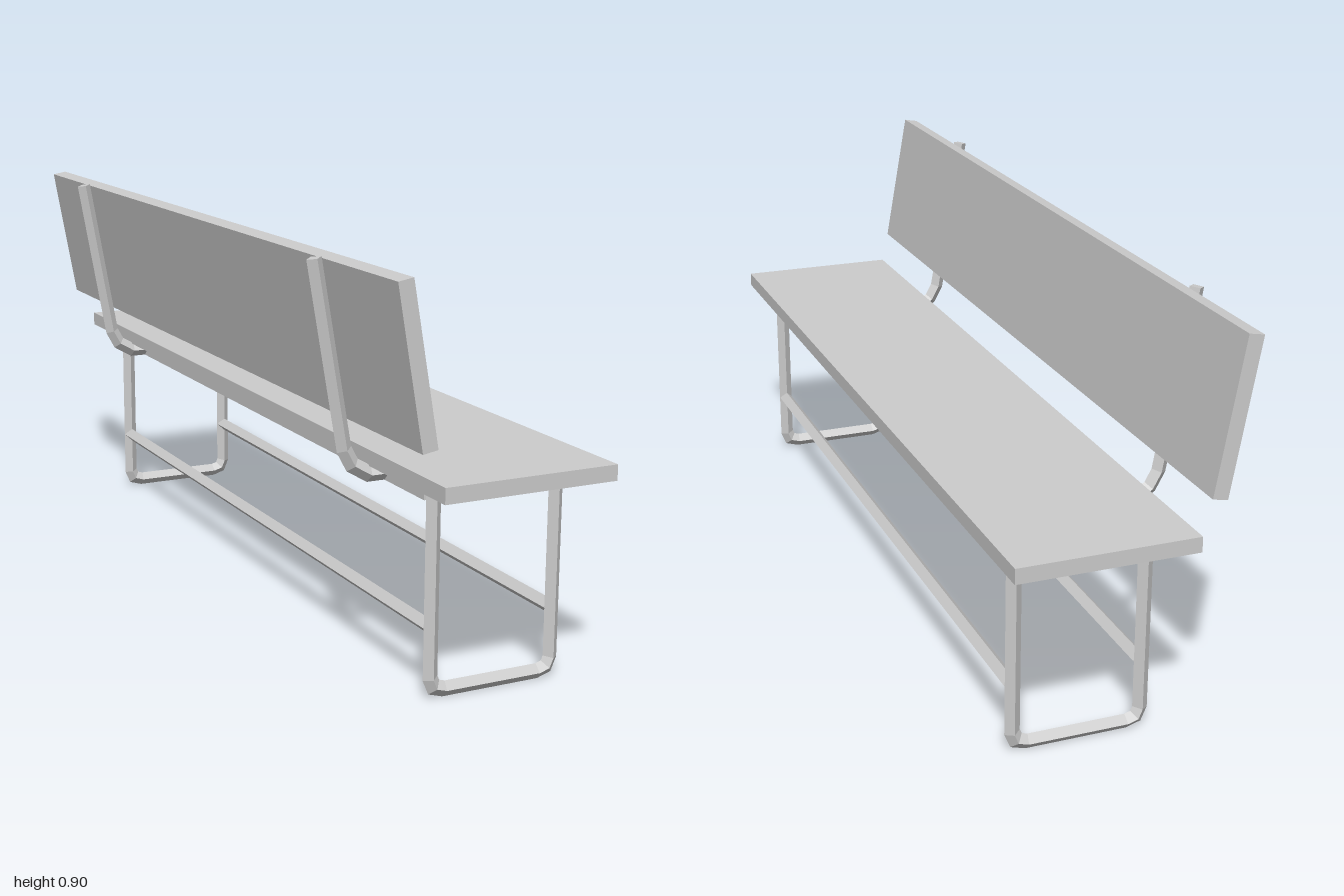
import * as THREE from 'three';

const R = 0.017; // tube radius in the plane of the bend
const RZ = 0.0155; // tube radius across the plane of the bend
const material = new THREE.MeshStandardMaterial({ color: 0xcccccc, flatShading: true });

function addMesh(parent, name, geometry, x = 0, y = 0, z = 0) {
  const mesh = new THREE.Mesh(geometry, material);
  mesh.name = name;
  mesh.position.set(x, y, z);
  parent.add(mesh);
  return mesh;
}

// Four-sided tube with mitred corners along a path in the xy plane
function bentTube(path) {
  const pts = path.map(([x, y]) => new THREE.Vector2(x, y));
  const last = pts.length - 1;
  const dir = (i) => pts[i + 1].clone().sub(pts[i]).normalize();
  const rings = pts.map((p, i) => {
    const before = dir(Math.max(i - 1, 0));
    const after = dir(Math.min(i, last - 1));
    const t = before.clone().add(after).normalize();
    const r = R / t.dot(after);
    const nx = -t.y * r, ny = t.x * r;
    return [[p.x + nx, p.y + ny, 0], [p.x, p.y, RZ], [p.x - nx, p.y - ny, 0], [p.x, p.y, -RZ]];
  });
  const out = [];
  const quad = (a, b, c, d) => out.push(...a, ...b, ...c, ...a, ...c, ...d);
  for (let i = 0; i < last; i++) {
    const a = rings[i], b = rings[i + 1];
    for (let k = 0; k < 4; k++) {
      const n = (k + 1) % 4;
      quad(a[k], a[n], b[n], b[k]);
    }
  }
  const s = rings[0], e = rings[last];
  quad(s[3], s[2], s[1], s[0]);
  quad(e[0], e[1], e[2], e[3]);
  const g = new THREE.BufferGeometry();
  g.setAttribute('position', new THREE.Float32BufferAttribute(out, 3));
  g.computeVertexNormals();
  return g;
}

export function createModel() {
  const bench = new THREE.Group();
  bench.name = 'bench';

  // Seat and leaning backrest boards
  addMesh(bench, 'seat', new THREE.BoxGeometry(0.396, 0.034, 2), 0.072, 0.474, 0);
  const back = addMesh(bench, 'backrest', new THREE.BoxGeometry(0.034, 0.338, 2), -0.189, 0.731, 0);
  back.rotation.z = THREE.MathUtils.degToRad(10);

  // U-shaped leg frames, mirrored about the middle of the seat
  const mid = 0.072;
  const half = [[-0.072, 0.458], [-0.072, 0.047], [-0.063, 0.026], [-0.04, 0.019]];
  const legPath = [...half, ...half.map(([x, y]) => [2 * mid - x, y]).reverse()];
  const legGeometry = bentTube(legPath);

  // Bent uprights running from under the seat up the backrest
  const supportGeometry = bentTube([
    [-0.072, 0.44], [-0.125, 0.44], [-0.164, 0.463], [-0.183, 0.498], [-0.253, 0.896],
  ]);

  for (const side of [1, -1]) {
    const label = side > 0 ? 'front' : 'rear';
    addMesh(bench, label + 'LegFrame', legGeometry, 0, 0, side * 0.864);
    addMesh(bench, label + 'BackSupport', supportGeometry, 0, 0, side * 0.69);
  }

  // Long rails joining the legs: flat ones under the seat, tubes lower down
  const railGeometry = new THREE.BoxGeometry(0.032, 0.035, 1.708);
  const stretcherGeometry = new THREE.CylinderGeometry(R, R, 1.72, 4).rotateX(Math.PI / 2);
  for (const x of [-0.072, 0.216]) {
    addMesh(bench, 'seatRail', railGeometry, x, 0.44, 0);
    addMesh(bench, 'stretcher', stretcherGeometry, x, 0.156, 0);
  }
  return bench;
}
